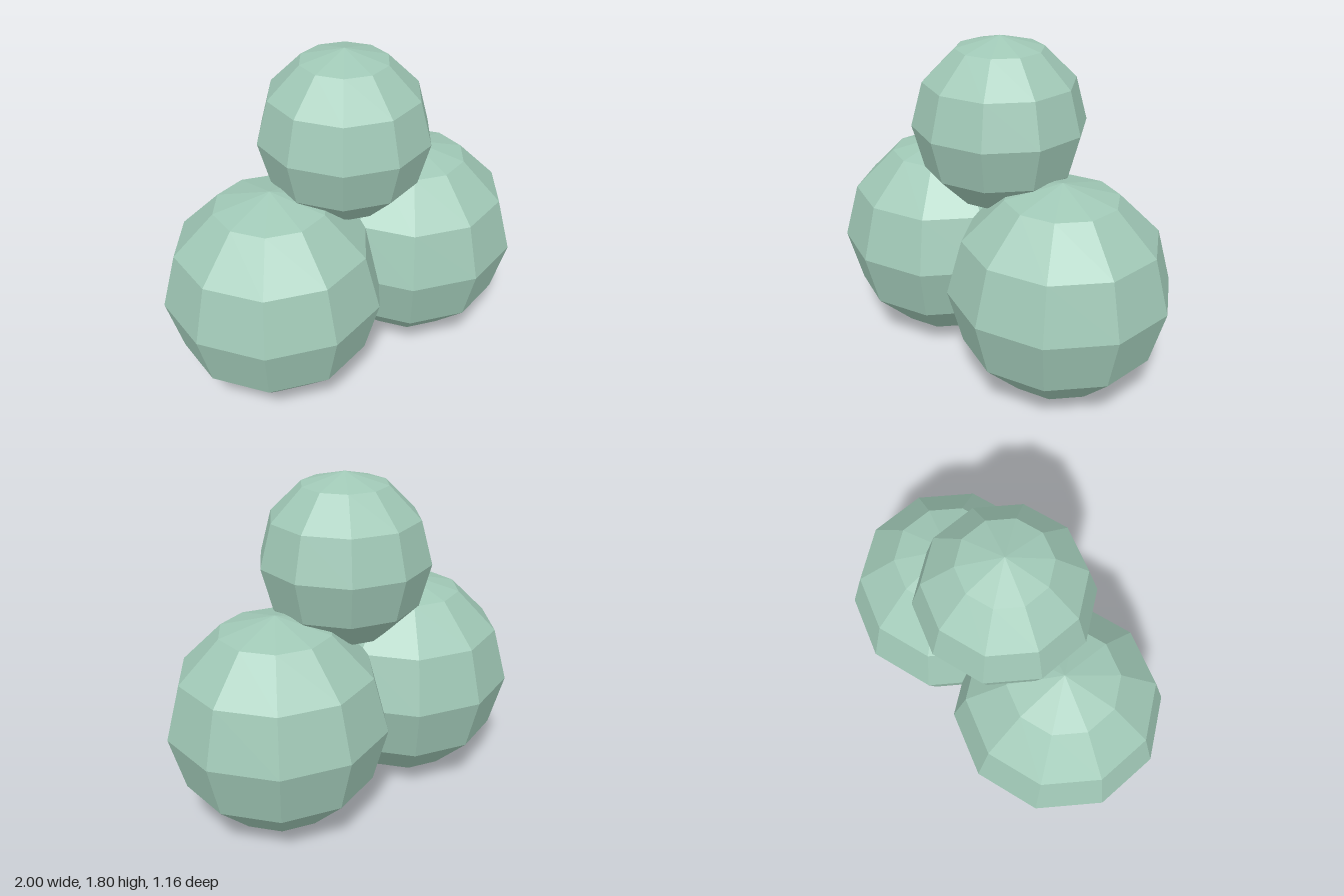
import * as THREE from 'three';

export function createModel() {
  const group = new THREE.Group();
  const material = new THREE.MeshStandardMaterial({ color: 0xa0c8b6, flatShading: true });

  // Faceted ball, turned so that corners point to front and back
  function addBall(name, radius, x, y) {
    const geometry = new THREE.SphereGeometry(radius, 10, 6);
    geometry.rotateY(Math.PI / 2);
    const ball = new THREE.Mesh(geometry, material);
    ball.name = name;
    ball.position.set(x, y, 0);
    group.add(ball);
  }

  // Two large balls side by side, a smaller one resting on top
  addBall('leftBall', 0.578, 0.45, 0.578);
  addBall('rightBall', 0.578, -0.45, 0.578);
  addBall('topBall', 0.45, 0, 1.35);

  return group;
}
